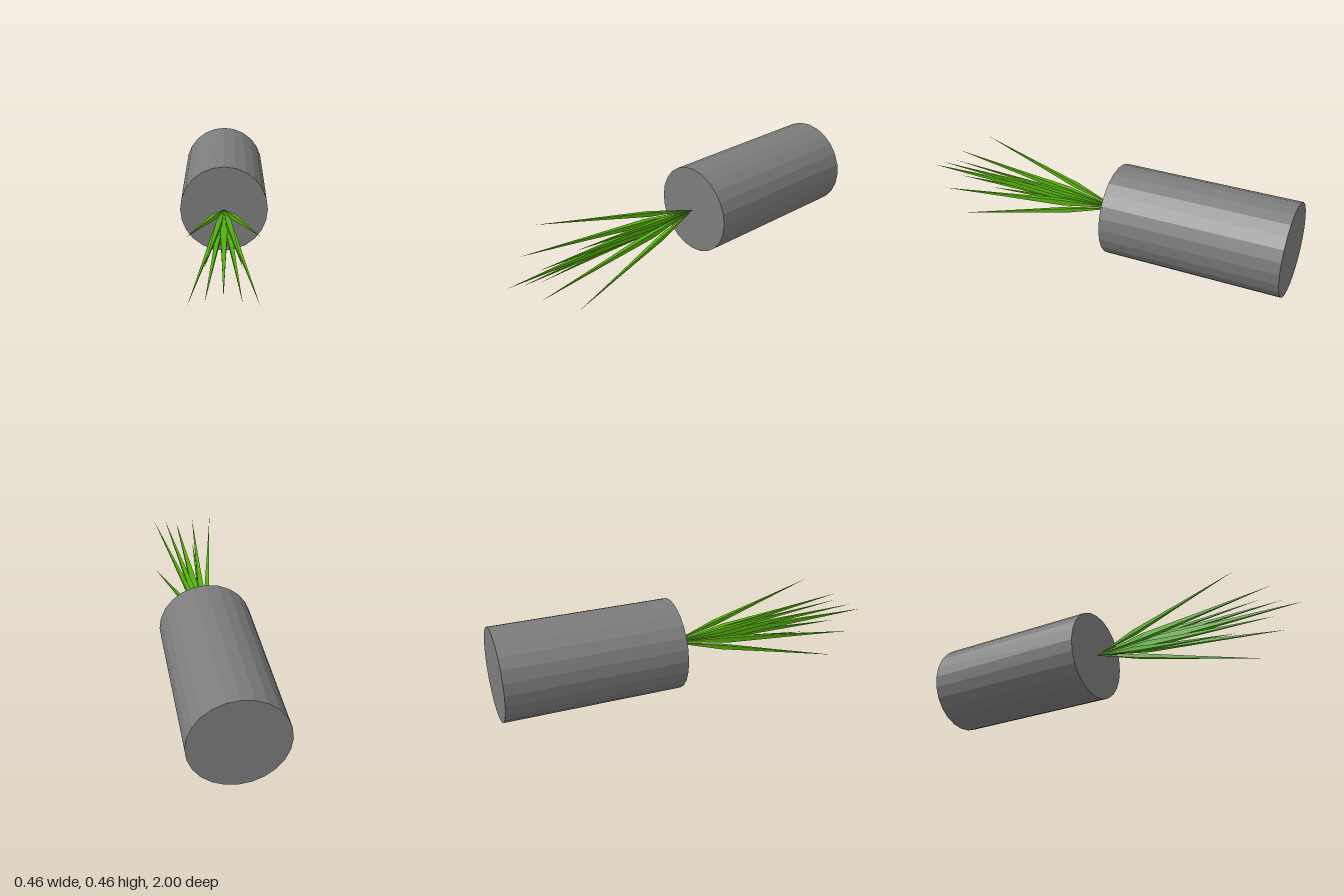
import * as THREE from 'three';

const AXIS_Y = 0.23;
const BASE_Z = -0.11;

// Slim four-sided blade along +z: pointed base, widest at 30%, pointed tip
function bladeGeometry(length, halfWidth) {
  const profile = [[0, 0], [1, 0.3], [0.5, 0.62], [0, 1]]
    .map(([r, t]) => new THREE.Vector2(r * halfWidth * Math.SQRT2, t * length));
  return new THREE.LatheGeometry(profile, 4, Math.PI / 4).rotateX(Math.PI / 2);
}

export function createModel() {
  const model = new THREE.Group();
  model.name = 'sproutingCylinder';

  const grey = new THREE.MeshStandardMaterial({ color: 0x7c7c7c, flatShading: true });
  const green = new THREE.MeshStandardMaterial({
    color: 0x55b00c, flatShading: true, side: THREE.DoubleSide,
  });

  // Faceted cylinder lying along z
  const body = new THREE.Mesh(
    new THREE.CylinderGeometry(0.228, 0.228, 0.888, 24).rotateX(Math.PI / 2), grey);
  body.name = 'cylinderBody';
  body.position.set(0, AXIS_Y, -0.556);
  model.add(body);

  // Blades fanning out from the middle of the front face
  const blades = new THREE.Group();
  blades.name = 'blades';
  blades.position.set(0, AXIS_Y, BASE_Z);
  model.add(blades);

  const forward = new THREE.Vector3(0, 0, 1);
  function addBlade(name, x, y, z, halfWidth) {
    const tip = new THREE.Vector3(x, y, z - BASE_Z);
    const blade = new THREE.Mesh(bladeGeometry(tip.length(), halfWidth), green);
    blade.name = name;
    blade.quaternion.setFromUnitVectors(forward, tip.normalize());
    blades.add(blade);
  }

  addBlade('centreBlade', 0, 0, 1, 0.018);
  for (const sx of [-1, 1]) {
    for (const sy of [-1, 1]) {
      const corner = (sy > 0 ? 'Upper' : 'Lower') + (sx > 0 ? 'Left' : 'Right');
      addBlade('inner' + corner + 'Blade', sx * 0.079, sy * 0.079, 0.88, 0.014);
      addBlade('outer' + corner + 'Blade', sx * 0.158, sy * 0.158, 0.735, 0.011);
    }
  }
  return model;
}
